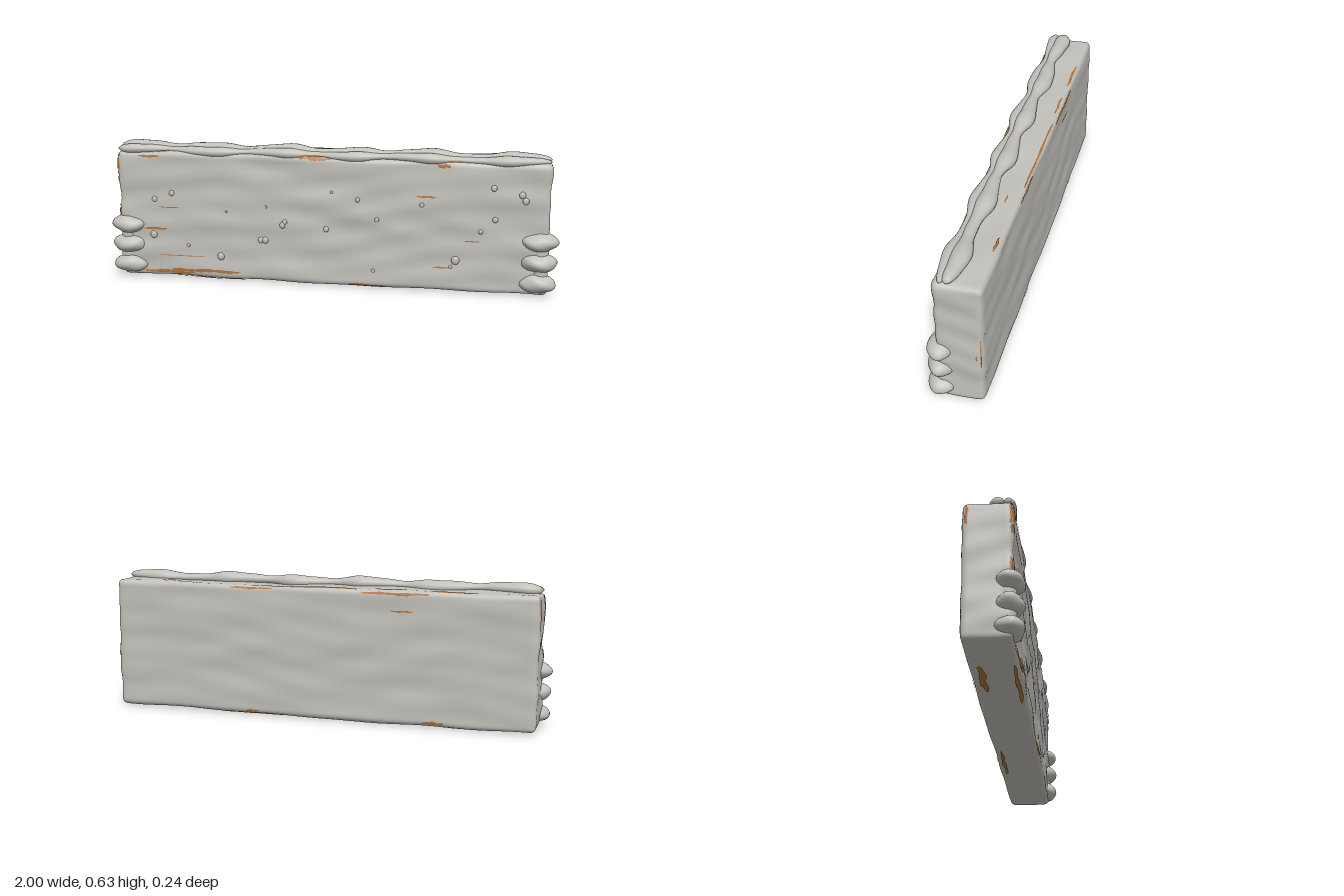
import * as THREE from 'three';
import { mergeVertices } from 'three/addons/utils/BufferGeometryUtils.js';

const HALF = new THREE.Vector3(0.956, 0.291, 0.098);
const CENTRE = new THREE.Vector3(0, 0.298, -0.019);
const ROUND = 0.024;
const { sin, cos } = Math;

// patchy hammered ripples, stretched along x
const ripple = (x, y, z) =>
  0.0032 * sin(26 * y + 1.3 * sin(3.1 * x)) * sin(4.7 * x + 7 * y + 1) +
  0.0026 * sin(47 * y - 14 * z + 1.5 * sin(5 * x + 2)) * sin(7.3 * x - 11 * y) +
  0.0016 * sin(16 * x + 9 * y - 20 * z + 2 * sin(19 * y));

// rounds a point of the box's skin, then ripples it; lift raises it off the surface
function warp(p, lift = 0) {
  const inner = HALF.clone().subScalar(ROUND);
  const core = p.clone().clamp(inner.clone().negate(), inner);
  const n = p.clone().sub(core).normalize();
  const d = ROUND + lift + ripple(p.x, p.y, p.z) * (n.z < -0.5 ? 0.6 : 1);
  return core.addScaledVector(n, d).add(CENTRE);
}

function smooth(geometry) {
  geometry.deleteAttribute('uv');
  geometry.deleteAttribute('normal');
  const g = mergeVertices(geometry, 1e-5);
  g.computeVertexNormals();
  return g;
}

function mapVertices(geometry, fn) {
  const pos = geometry.attributes.position;
  const p = new THREE.Vector3();
  for (let i = 0; i < pos.count; i++) {
    const q = fn(p.fromBufferAttribute(pos, i));
    pos.setXYZ(i, q.x, q.y, q.z);
  }
  return smooth(geometry);
}

// ragged flake on a face: u, v are world coordinates on that face
// front/back: (x, y)   top/bottom: (x, z)   left/right: (y, z)
function flakeGeometry(face, u, v, length, height, seed) {
  const g = new THREE.PlaneGeometry(1, 1, 32, 6);
  return mapVertices(g, (p) => {
    const t = p.x * 2;
    const a = u + p.x * length;
    const taper = Math.pow(Math.max(0, 1 - t * t), 0.35);
    const ragged = 0.88 + 0.16 * sin(9 * t + seed * 2.3) + 0.12 * sin(23 * t + seed * 5.1);
    const b = v + height * (p.y * taper * ragged + 0.12 * sin(5 * t + seed));
    const q = new THREE.Vector3();
    if (face === 'front' || face === 'back') q.set(a, b - CENTRE.y, face === 'front' ? HALF.z : -HALF.z);
    else if (face === 'top' || face === 'bottom') q.set(a, face === 'top' ? HALF.y : -HALF.y, b - CENTRE.z);
    else q.set(face === 'left' ? HALF.x : -HALF.x, a - CENTRE.y, b - CENTRE.z);
    q.clamp(HALF.clone().negate(), HALF);
    return warp(q, 0.003);
  });
}

// lumpy bead running along x, swept from elliptical rings; sway pushes the lumps in z
function beadGeometry(y0, z0, ry, rz, sway, phase) {
  const g = new THREE.CylinderGeometry(1, 1, 1, 16, 150);
  return mapVertices(g, (p) => {
    const t = p.y * 2;
    const x = t * 0.955;
    const end = Math.sqrt(Math.max(0, 1 - Math.pow(Math.abs(t), 24)));
    const wave = cos(18.8 * x + phase + 0.5 * sin(4 * x));
    const lump = (1 + 0.26 * wave + 0.07 * sin(41 * x + phase * 2)) * end;
    const y = y0 + 0.003 * sin(11 * x + phase);
    return new THREE.Vector3(x, y + p.x * ry * lump, z0 + sway * wave - p.z * rz * lump);
  });
}

export function createModel() {
  const group = new THREE.Group();
  const metal = new THREE.MeshStandardMaterial({ color: 0xc2c0ba });
  metal.name = 'worn grey metal';
  const rust = new THREE.MeshStandardMaterial({ color: 0xb0733c, side: THREE.DoubleSide });
  rust.name = 'rust brown';

  const add = (name, geometry, material, parent = group) => {
    const mesh = new THREE.Mesh(geometry, material);
    mesh.name = name;
    parent.add(mesh);
    return mesh;
  };
  const addGroup = (name) => {
    const g = new THREE.Group();
    g.name = name;
    group.add(g);
    return g;
  };

  // slab
  const box = new THREE.BoxGeometry(HALF.x * 2, HALF.y * 2, HALF.z * 2, 160, 72, 30);
  add('slab', mapVertices(box, (p) => warp(p)), metal);

  // double weld bead along the top front edge
  add('rearTopBead', beadGeometry(0.598, 0.018, 0.024, 0.032, -0.005, 3.76), metal);
  add('frontTopBead', beadGeometry(0.594, 0.053, 0.018, 0.023, 0.005, 4.1), metal);

  // three stacked weld lumps on each lower front corner
  for (const side of [-1, 1]) {
    const corner = addGroup(side > 0 ? 'leftCornerWeld' : 'rightCornerWeld');
    [0.062, 0.155, 0.247].forEach((y, i) => {
      const lump = new THREE.SphereGeometry(1, 28, 20);
      add('weldLump', mapVertices(lump, (p) => {
        const k = 1 + 0.04 * sin(4 * p.x * side + 3 * p.y + i * 2) + 0.03 * sin(5 * p.z + i);
        return new THREE.Vector3(
          side * 0.917 + p.x * 0.078 * k, y + p.y * 0.041 * k, 0.062 + p.z * 0.057 * k);
      }), metal, corner);
    });
    const neck = add('weldNeck', new THREE.CylinderGeometry(0.034, 0.034, 0.19, 18), metal, corner);
    neck.position.set(side * 0.924, 0.155, 0.054);
  }

  // spatter drops on the front: x, y, radius
  const drops = [
    [-0.79, 0.37, 0.012], [-0.71, 0.4, 0.012], [-0.8, 0.205, 0.016], [-0.64, 0.16, 0.008],
    [-0.49, 0.115, 0.016], [-0.305, 0.2, 0.013], [-0.285, 0.2, 0.014], [-0.205, 0.275, 0.013],
    [-0.195, 0.29, 0.011], [-0.28, 0.355, 0.006], [-0.46, 0.325, 0.005], [-0.01, 0.265, 0.012],
    [0.015, 0.435, 0.006], [0.13, 0.405, 0.01], [0.215, 0.32, 0.01], [0.2, 0.085, 0.008],
    [0.41, 0.395, 0.01], [0.56, 0.15, 0.018], [0.54, 0.12, 0.008], [0.665, 0.285, 0.01],
    [0.725, 0.34, 0.012], [0.715, 0.48, 0.013], [0.835, 0.455, 0.014], [0.85, 0.43, 0.014],
  ];
  const spatter = addGroup('weldSpatter');
  const dropGeometry = new THREE.SphereGeometry(1, 12, 8);
  for (const [x, y, r] of drops) {
    const drop = add('spatterDrop', dropGeometry, metal, spatter);
    drop.position.copy(warp(new THREE.Vector3(x, y - CENTRE.y, HALF.z)));
    drop.scale.set(r, r * 1.1, r * 0.55);
  }

  // rust flakes: u, v, length, height
  const flakes = {
    front: [
      [-0.56, 0.044, 0.32, 0.016], [-0.73, 0.032, 0.24, 0.016], [0.16, 0.017, 0.18, 0.014],
      [-0.06, 0.582, 0.15, 0.018], [-0.81, 0.567, 0.1, 0.01], [0.5, 0.57, 0.06, 0.02],
      [0.43, 0.432, 0.09, 0.009], [-0.79, 0.235, 0.11, 0.011], [0.63, 0.24, 0.07, 0.005],
      [0.5, 0.115, 0.08, 0.007], [-0.68, 0.11, 0.23, 0.004], [-0.72, 0.335, 0.1, 0.005],
      [-0.951, 0.53, 0.014, 0.09], [-0.951, 0.46, 0.012, 0.04], [-0.95, 0.31, 0.014, 0.05],
    ],
    back: [[-0.38, 0.5, 0.1, 0.008], [0.3, 0.577, 0.2, 0.012], [-0.35, 0.575, 0.3, 0.014],
      [0.3, 0.022, 0.06, 0.012], [-0.52, 0.025, 0.1, 0.014]],
    top: [[-0.6, -0.1, 0.2, 0.014], [-0.33, -0.098, 0.14, 0.01], [0.06, -0.107, 0.5, 0.012],
      [0.69, -0.095, 0.09, 0.01], [0.4, -0.055, 0.05, 0.008],
      [-0.76, 0.067, 0.1, 0.022], [-0.06, 0.067, 0.13, 0.024], [0.53, 0.067, 0.1, 0.024]],
    bottom: [[-0.62, -0.07, 0.24, 0.03], [0.3, -0.085, 0.3, 0.018], [-0.55, 0.06, 0.35, 0.018]],
    left: [[0.27, -0.108, 0.14, 0.007], [0.25, -0.09, 0.025, 0.007]],
    right: [[0.53, 0.07, 0.1, 0.016], [0.46, 0.072, 0.04, 0.012], [0.31, 0.07, 0.06, 0.014],
      [0.53, -0.1, 0.09, 0.014]],
  };
  const flakeGroup = addGroup('rustFlakes');
  let seed = 1;
  for (const [face, list] of Object.entries(flakes))
    for (const f of list) add(face + 'RustFlake', flakeGeometry(face, ...f, seed++), rust, flakeGroup);

  return group;
}
